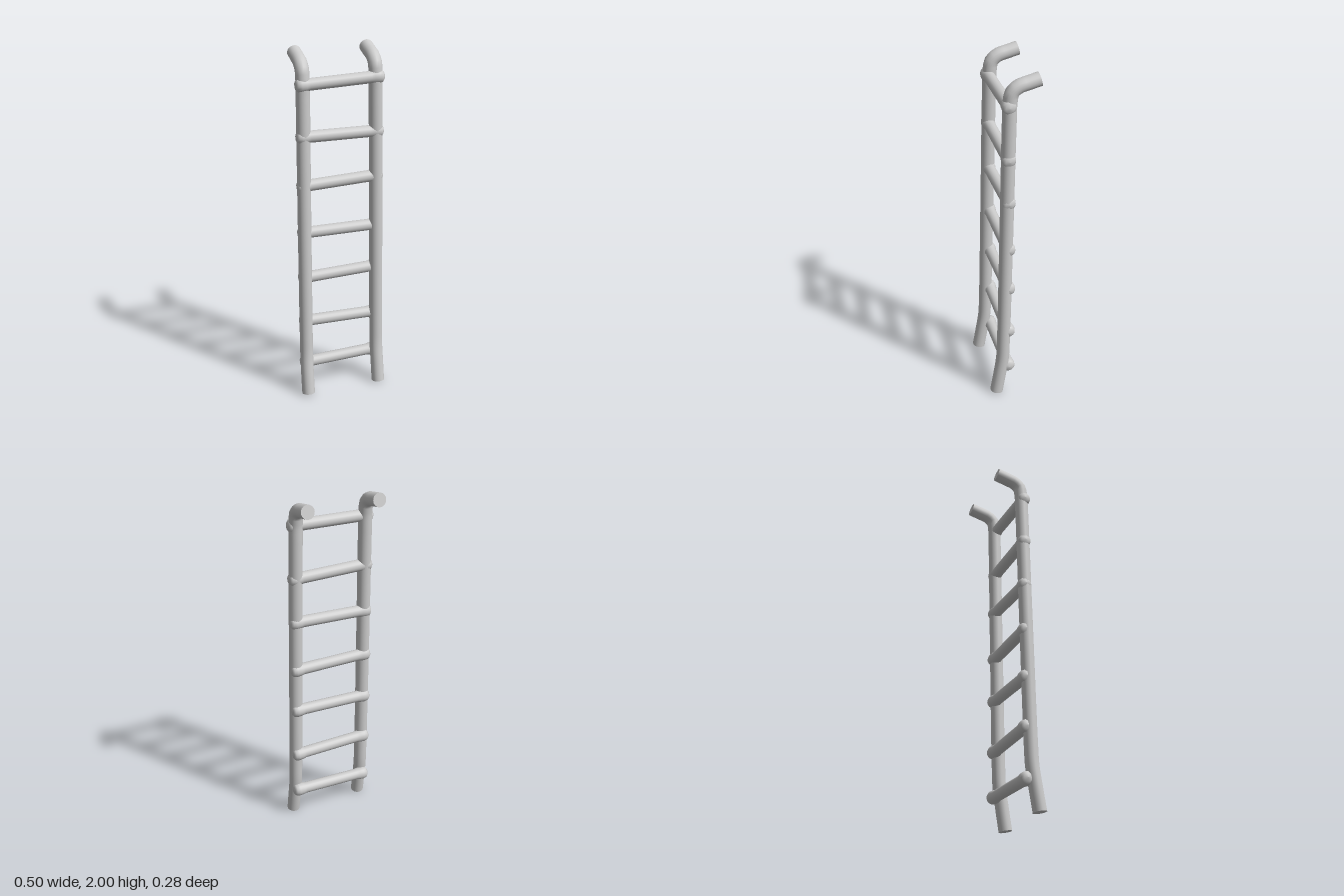
import * as THREE from 'three';

const RAIL_R = 0.037;
const RUNG_Z = 0.03;

// Rail centre line as [x, y, z] for the left side; side = -1 mirrors it
const RAIL_PATH = [
  [0.215, 0.006, 0.101], [0.214, 0.12, 0.082], [0.212, 0.24, 0.064], [0.211, 0.36, 0.058],
  [0.206, 1.0, 0.042], [0.199, 1.76, 0.024], [0.198, 1.86, 0.02], [0.198, 1.91, 0.009],
  [0.198, 1.937, -0.025], [0.198, 1.949, -0.07], [0.198, 1.964, -0.131],
];

// Heights of each rung at its right (-x) and left (+x) end
const RUNGS = [
  [0.172, 0.183], [0.447, 0.437], [0.725, 0.735], [1.0, 0.995],
  [1.275, 1.288], [1.55, 1.543], [1.83, 1.84],
];

function createRail(side, material) {
  const rail = new THREE.Group();
  rail.name = side > 0 ? 'leftRail' : 'rightRail';
  const curve = new THREE.CatmullRomCurve3(
    RAIL_PATH.map(([x, y, z]) => new THREE.Vector3(x * side, y, z)));

  const tube = new THREE.Mesh(new THREE.TubeGeometry(curve, 80, RAIL_R, 20), material);
  tube.name = 'railTube';
  rail.add(tube);

  // Flat caps across the foot and the hook tip
  for (const t of [0, 1]) {
    const cap = new THREE.Mesh(new THREE.CircleGeometry(RAIL_R, 20), material);
    cap.name = t === 0 ? 'footCap' : 'hookCap';
    const outward = curve.getTangentAt(t).multiplyScalar(t === 0 ? -1 : 1);
    cap.position.copy(curve.getPointAt(t));
    cap.quaternion.setFromUnitVectors(new THREE.Vector3(0, 0, 1), outward);
    rail.add(cap);
  }
  return rail;
}

// Round bar whose ends swell slightly into rounded knobs around the rails
function createRungGeometry() {
  const half = [[0.032, 0.165], [0.036, 0.185], [0.038, 0.21], [0.034, 0.229], [0.022, 0.239], [0, 0.242]];
  const profile = [...half.map(([r, y]) => [r, -y]).reverse(), ...half];
  const points = profile.map(([r, y]) => new THREE.Vector2(r, y));
  return new THREE.LatheGeometry(points, 20);
}

export function createModel() {
  const ladder = new THREE.Group();
  ladder.name = 'ladder';
  const metal = new THREE.MeshStandardMaterial({ color: 0xcccccc });
  metal.name = 'light grey';

  for (const side of [-1, 1]) ladder.add(createRail(side, metal));

  // Rungs, each leaning a little to one side
  const rungGeometry = createRungGeometry();
  RUNGS.forEach(([y0, y1], i) => {
    const rung = new THREE.Mesh(rungGeometry, metal);
    rung.name = `rung${i + 1}`;
    rung.position.set(0, (y0 + y1) / 2, RUNG_Z);
    rung.rotation.z = -Math.PI / 2 + Math.atan2(y1 - y0, 0.4);
    ladder.add(rung);
  });
  return ladder;
}
